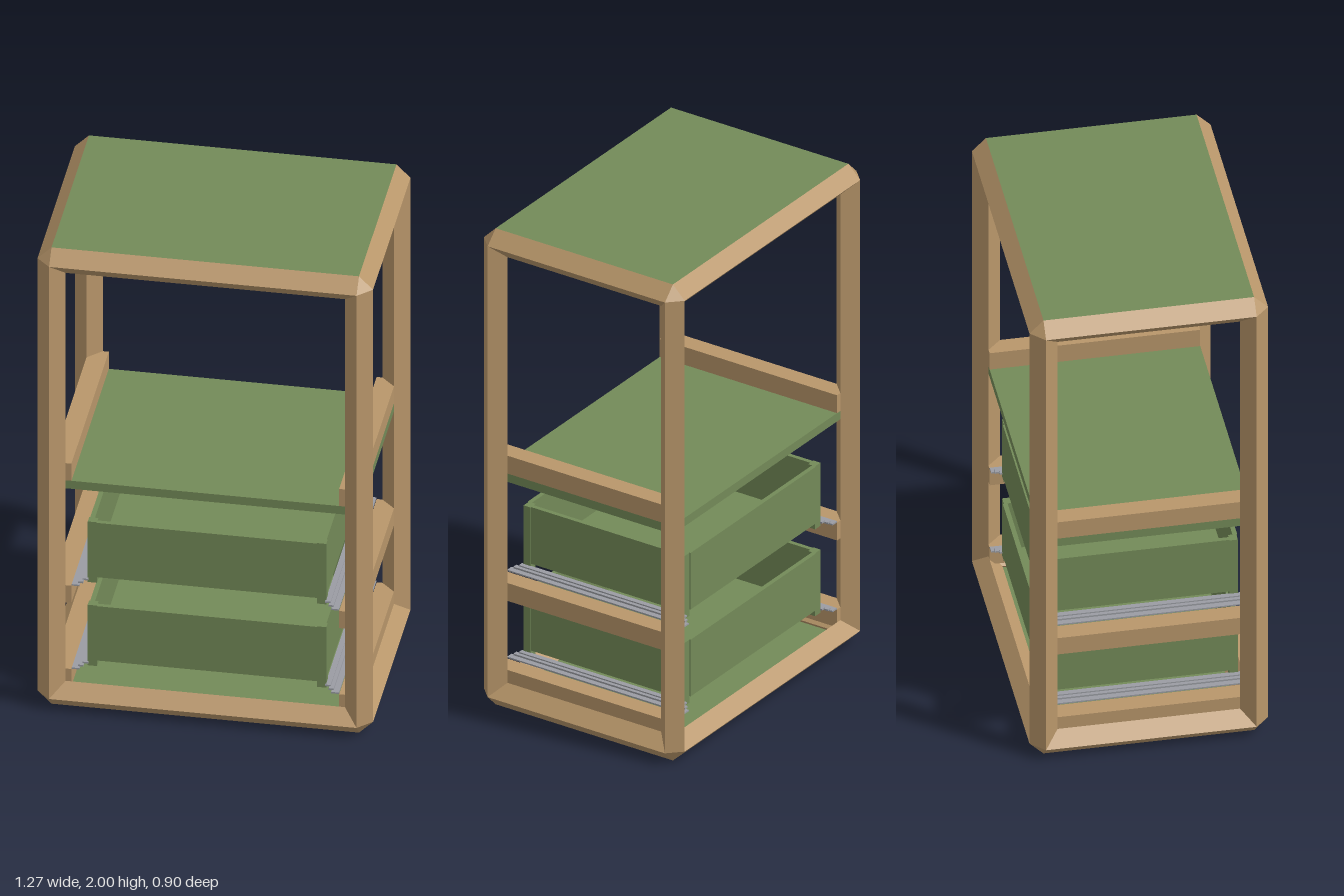
import * as THREE from 'three';

const wood = new THREE.MeshStandardMaterial({ color: 0xb8966a, flatShading: true });
const green = new THREE.MeshStandardMaterial({ color: 0x738a58, flatShading: true });
const metal = new THREE.MeshStandardMaterial({ color: 0x9a9ca3, flatShading: true });

// Frame centre lines and half diagonal of the square bars
const X = 0.58, Z = 0.398, R = 0.053, Y0 = R, Y1 = 2 - R;

function add(parent, name, geometry, material, x, y, z) {
  const mesh = new THREE.Mesh(geometry, material);
  mesh.name = name;
  mesh.position.set(x, y, z);
  parent.add(mesh);
  return mesh;
}

// Box given by its limits on each axis
function box(parent, name, material, x0, x1, y0, y1, z0, z1) {
  return add(parent, name, new THREE.BoxGeometry(x1 - x0, y1 - y0, z1 - z0), material,
    (x0 + x1) / 2, (y0 + y1) / 2, (z0 + z1) / 2);
}

// Square bar standing on its edge
const bar = (length) => new THREE.CylinderGeometry(R, R, length, 4, 1, true);

function buildFrame() {
  const frame = new THREE.Group();
  frame.name = 'frame';
  for (const sx of [-1, 1]) {
    for (const sz of [-1, 1]) {
      add(frame, 'post', bar(Y1 - Y0), wood, sx * X, 1, sz * Z);
      for (const y of [Y0, Y1]) add(frame, 'cornerJoint', new THREE.OctahedronGeometry(R), wood, sx * X, y, sz * Z);
    }
  }
  for (const y of [Y0, Y1]) {
    for (const s of [-1, 1]) {
      add(frame, 'longRail', bar(2 * X), wood, 0, y, s * Z).rotation.z = Math.PI / 2;
      add(frame, 'sideRail', bar(2 * Z), wood, s * X, y, 0).rotation.x = Math.PI / 2;
    }
  }
  return frame;
}

// Open tray with corner posts; y is the level of the runners below it
function buildDrawer(y) {
  const drawer = new THREE.Group();
  drawer.name = 'drawer';
  const W = 0.45, D = 0.365, P = 0.035, T = 0.018, low = y + 0.027, top = y + 0.265;
  for (const s of [-1, 1]) {
    const side = box(drawer, 'drawerSide', green, W - T - 0.004, W - 0.004, low, top, -D + P, D - P);
    side.position.x *= s;
    const end = box(drawer, 'drawerEnd', green, -W + P, W - P, low, top, D - T, D);
    end.position.z *= s;
    for (const t of [-1, 1]) {
      const post = box(drawer, 'drawerCornerPost', green, W - P, W, y, top, D - P, D - 0.004);
      post.position.x *= s;
      post.position.z *= t;
    }
    // Sliding runner: fixed strip on the support, ball track and moving strip
    for (const [x0, x1, a, b, d] of [
      [0.475, 0.504, 0.001, 0.007, 0.398],
      [0.463, 0.482, 0.007, 0.014, 0.385],
      [0.447, 0.468, 0.012, 0.019, 0.37]]) {
      const strip = box(drawer, 'drawerRunner', metal, x0, x1, y + a, y + b, -d, d);
      strip.position.x *= s;
    }
  }
  box(drawer, 'drawerFloor', green, -W + T, W - T, low, low + T, -D + T, D - T);
  return drawer;
}

export function createModel() {
  const model = new THREE.Group();
  model.name = 'storageUnit';
  model.add(buildFrame());

  // Top, shelf and base boards
  for (const [name, y] of [['topPanel', 1.965], ['shelf', 0.95], ['basePanel', 0]]) {
    box(model, name, green, -X, X, y, y + 0.035, -Z, Z);
  }

  // Side supports above the shelf and below each drawer
  for (const y of [0.985, 0.45, 0.085]) {
    for (const s of [-1, 1]) {
      const support = box(model, 'sideSupport', wood, 0.505, 0.58, y, y + 0.075, -Z, Z);
      support.position.x *= s;
    }
  }

  for (const y of [0.525, 0.16]) model.add(buildDrawer(y));
  return model;
}
